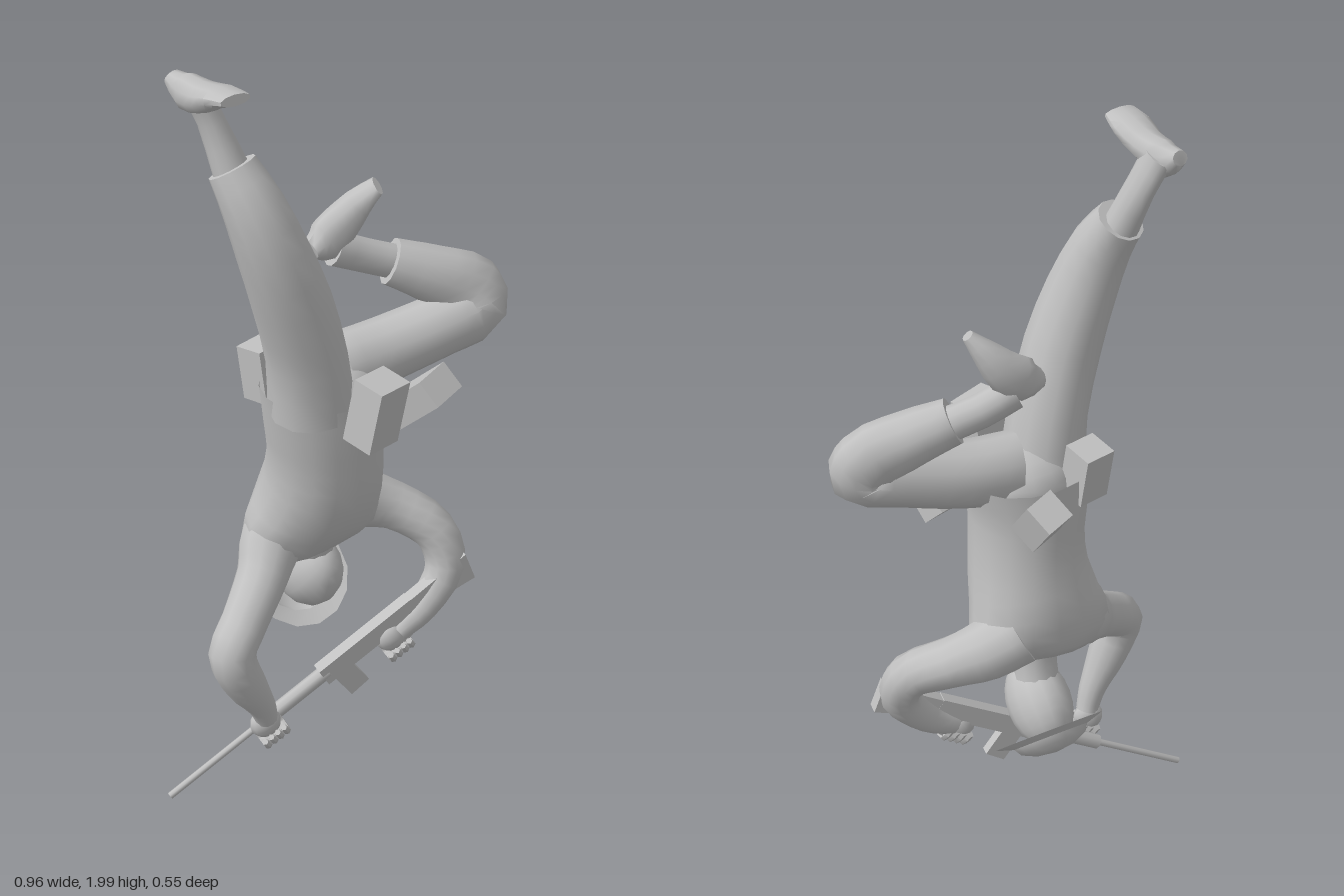
import * as THREE from 'three';
import { toCreasedNormals } from 'three/addons/utils/BufferGeometryUtils.js';

const V = (x, y, z) => new THREE.Vector3(x, y, z);
const grey = new THREE.MeshStandardMaterial({ color: 0xc0c0c0, side: THREE.DoubleSide });
grey.name = 'plain grey';

function add(parent, name, geometry, pos = [0, 0, 0], rot = [0, 0, 0]) {
  const m = new THREE.Mesh(geometry, grey);
  m.name = name;
  m.position.set(...pos);
  m.rotation.set(...rot);
  parent.add(m);
  return m;
}

// Loft elliptical rings [x, y, z, ra, rb] along a smooth path; rb lies towards ref
function loft(rings, { ref = V(0, 0, 1), sides = 12, sub = 2, capStart = true, capEnd = true } = {}) {
  const path = new THREE.CatmullRomCurve3(rings.map(r => V(r[0], r[1], r[2])));
  const size = new THREE.CatmullRomCurve3(rings.map(r => V(r[3], r[4] ?? r[3], 0)), false, 'catmullrom', 0.4);
  const n = (rings.length - 1) * sub, pos = [], idx = [];
  for (let i = 0; i <= n; i++) {
    const c = path.getPoint(i / n), t = path.getTangent(i / n), s = size.getPoint(i / n);
    const v = ref.clone().addScaledVector(t, -ref.dot(t)).normalize();
    const u = v.clone().cross(t);
    for (let j = 0; j < sides; j++) {
      const a = j / sides * Math.PI * 2;
      const p = c.clone().addScaledVector(u, Math.cos(a) * s.x).addScaledVector(v, Math.sin(a) * s.y);
      pos.push(p.x, p.y, p.z);
    }
  }
  for (let i = 0; i < n; i++) for (let j = 0; j < sides; j++) {
    const k = (j + 1) % sides, a = i * sides;
    idx.push(a + j, a + k, a + sides + j, a + k, a + sides + k, a + sides + j);
  }
  for (let j = 1; j < sides - 1; j++) {
    if (capStart) idx.push(0, j + 1, j);
    if (capEnd) idx.push(n * sides, n * sides + j, n * sides + j + 1);
  }
  const g = new THREE.BufferGeometry();
  g.setAttribute('position', new THREE.Float32BufferAttribute(pos, 3));
  g.setIndex(idx);
  return toCreasedNormals(g, 1);
}

// Hand: a palm with four fingers curled around the weapon
function hand(parent, name, center, along, down) {
  const h = new THREE.Group();
  h.name = name;
  const x = V(...along).normalize();
  const y = V(...down).addScaledVector(x, -V(...down).dot(x)).normalize();
  h.quaternion.setFromRotationMatrix(new THREE.Matrix4().makeBasis(x, y, x.clone().cross(y)));
  h.position.set(...center);
  add(h, 'palm', new THREE.SphereGeometry(0.042, 10, 8)).scale.set(1, 1, 0.7);
  for (let i = 0; i < 4; i++) {
    const fx = -0.03 + i * 0.02;
    add(h, 'finger', loft([[fx, 0.015, 0.02, 0.012], [fx, 0.045, 0.01, 0.012],
      [fx, 0.045, -0.025, 0.011], [fx, 0.015, -0.04, 0.008]], { ref: V(1, 0, 0), sides: 6 }));
  }
  parent.add(h);
}

export function createModel() {
  const model = new THREE.Group();
  model.name = 'upsideDownSoldier';

  // Jacket, open at the hem, with hips inside
  add(model, 'jacket', loft([
    [-0.025, 1.14, 0.022, 0.168, 0.15], [-0.026, 1.05, 0.017, 0.152, 0.15],
    [-0.018, 0.95, 0.01, 0.145, 0.148], [-0.014, 0.85, -0.005, 0.152, 0.148],
    [-0.016, 0.76, -0.035, 0.172, 0.137], [-0.02, 0.685, -0.055, 0.195, 0.11],
    [-0.012, 0.635, -0.065, 0.15, 0.075]], { capStart: false, sides: 16 }));
  add(model, 'hips', new THREE.SphereGeometry(1, 14, 10), [-0.02, 1.1, 0.03]).scale.set(0.14, 0.1, 0.12);

  // Straight leg (right)
  add(model, 'rightTrouserLeg', loft([
    [-0.085, 1.1, 0.05, 0.105, 0.11], [-0.105, 1.25, 0.06, 0.095, 0.108], [-0.153, 1.42, 0.072, 0.094, 0.098],
    [-0.2, 1.56, 0.068, 0.085, 0.09], [-0.237, 1.68, 0.043, 0.074, 0.075], [-0.262, 1.765, -0.002, 0.06, 0.06]]));
  add(model, 'rightAnkle', loft([
    [-0.26, 1.75, -0.005, 0.045, 0.044], [-0.288, 1.87, -0.045, 0.03, 0.044], [-0.318, 1.95, -0.065, 0.03, 0.048]]));
  add(model, 'rightFoot', loft([
    [-0.34, 1.962, -0.122, 0.018, 0.022], [-0.33, 1.942, -0.075, 0.046, 0.036], [-0.322, 1.95, -0.01, 0.036, 0.044],
    [-0.317, 1.972, 0.05, 0.024, 0.05], [-0.315, 1.984, 0.105, 0.013, 0.04]], { ref: V(1, 0, 0), sides: 10 }));

  // Bent leg (left)
  add(model, 'leftTrouserLeg', loft([
    [0.02, 1.15, 0.015, 0.095, 0.08], [0.15, 1.168, 0.025, 0.085, 0.08], [0.3, 1.203, 0.052, 0.08, 0.078],
    [0.395, 1.232, 0.068, 0.082, 0.072], [0.38, 1.275, 0.05, 0.09, 0.068],
    [0.29, 1.33, 0.01, 0.073, 0.066], [0.2, 1.372, -0.03, 0.06, 0.055]], { sub: 3 }));
  add(model, 'leftAnkle', loft([
    [0.23, 1.36, -0.025, 0.045, 0.04], [0.14, 1.395, -0.055, 0.044, 0.04], [0.06, 1.432, -0.07, 0.045, 0.04]]));
  add(model, 'leftFoot', loft([
    [-0.008, 1.448, -0.067, 0.024, 0.03], [0.034, 1.458, -0.07, 0.055, 0.042], [0.08, 1.492, -0.07, 0.052, 0.044],
    [0.12, 1.542, -0.055, 0.036, 0.04], [0.156, 1.59, -0.025, 0.015, 0.028]], { sides: 10 }));

  // Arms and hands
  add(model, 'rightArm', loft([
    [-0.07, 0.735, -0.06, 0.085, 0.09], [-0.14, 0.675, -0.045, 0.085, 0.082], [-0.2, 0.615, 0, 0.067],
    [-0.288, 0.545, 0.055, 0.06], [-0.348, 0.485, 0.088, 0.06], [-0.315, 0.385, 0.09, 0.054],
    [-0.262, 0.285, 0.08, 0.037], [-0.24, 0.225, 0.07, 0.03]], { sub: 3 }));
  add(model, 'leftArm', loft([
    [0.06, 0.725, -0.085, 0.085, 0.09], [0.14, 0.685, -0.07, 0.08, 0.078], [0.22, 0.65, -0.032, 0.065],
    [0.3, 0.585, 0.042, 0.058], [0.31, 0.49, 0.08, 0.052],
    [0.235, 0.39, 0.085, 0.042], [0.16, 0.34, 0.08, 0.032]], { sub: 3 }));
  hand(model, 'rightHand', [-0.24, 0.205, 0.065], [0.84, 0.49, 0.14], [0.1, -1, 0]);
  hand(model, 'leftHand', [0.14, 0.33, 0.08], [0.84, 0.49, 0.14], [0.2, -1, 0]);

  // Neck, head and brimmed helmet
  add(model, 'neck', loft([[0, 0.68, -0.06, 0.065], [0.005, 0.6, -0.078, 0.055], [0.01, 0.52, -0.1, 0.06]]));
  const tilt = new THREE.Quaternion().setFromUnitVectors(V(0, 1, 0), V(0, -0.69, -0.72).normalize());
  const head = add(model, 'head', new THREE.SphereGeometry(1, 14, 12), [0.01, 0.49, -0.108]);
  head.scale.set(0.08, 0.12, 0.1);
  head.quaternion.copy(tilt);
  const profile = [[0.146, -0.008], [0.1, 0.006], [0.088, 0.025], [0.05, 0.042], [0, 0.048]];
  add(model, 'helmet', toCreasedNormals(new THREE.LatheGeometry(
    profile.map(p => new THREE.Vector2(...p)), 14), 0.7), [0.015, 0.432, -0.174]).quaternion.copy(tilt);

  // Belt pouches: position, size, rotation
  [[[-0.008, 1.142, 0.213], [0.105, 0.17, 0.085], [0.15, 0.25, -0.12]],
    [[0.175, 1.083, 0.142], [0.105, 0.165, 0.075], [0.85, 0.3, -0.2]],
    [[0.055, 1.135, -0.195], [0.08, 0.13, 0.08], [-0.65, 0.35, 0]],
    [[-0.132, 1.15, -0.085], [0.085, 0.14, 0.08], [-0.15, 0.2, 0.05]],
  ].forEach(([p, s, r]) => add(model, 'beltPouch', new THREE.BoxGeometry(...s), p, r));

  // Rifle: local x runs from muzzle to butt
  const rifle = new THREE.Group();
  rifle.name = 'rifle';
  const x = V(0.84, 0.5, 0.135).normalize();
  const y = V(0, 1, 0).addScaledVector(x, -x.y).normalize();
  rifle.quaternion.setFromRotationMatrix(new THREE.Matrix4().makeBasis(x, y, x.clone().cross(y)));
  rifle.position.set(-0.478, 0.01, -0.025);
  const rod = (name, r, a, b) => add(rifle, name, new THREE.CylinderGeometry(r, r, b - a, 8), [(a + b) / 2, 0, 0], [0, 0, Math.PI / 2]);
  rod('barrel', 0.009, 0, 0.32);
  rod('handguard', 0.02, 0.28, 0.52);
  add(rifle, 'receiver', new THREE.BoxGeometry(0.3, 0.055, 0.035), [0.65, 0, 0]);
  add(rifle, 'magazine', new THREE.BoxGeometry(0.06, 0.1, 0.025), [0.555, -0.06, 0], [0, 0, 0.08]);
  add(rifle, 'grip', new THREE.BoxGeometry(0.035, 0.07, 0.025), [0.73, -0.05, 0], [0, 0, 0.3]);
  const stock = new THREE.Shape([[0.78, -0.02], [0.97, -0.055], [0.985, 0.03], [0.78, 0.025]].map(p => new THREE.Vector2(...p)));
  add(rifle, 'stock', new THREE.ExtrudeGeometry(stock, { depth: 0.034, bevelEnabled: false }), [0, 0, -0.017]);
  model.add(rifle);

  return model;
}
